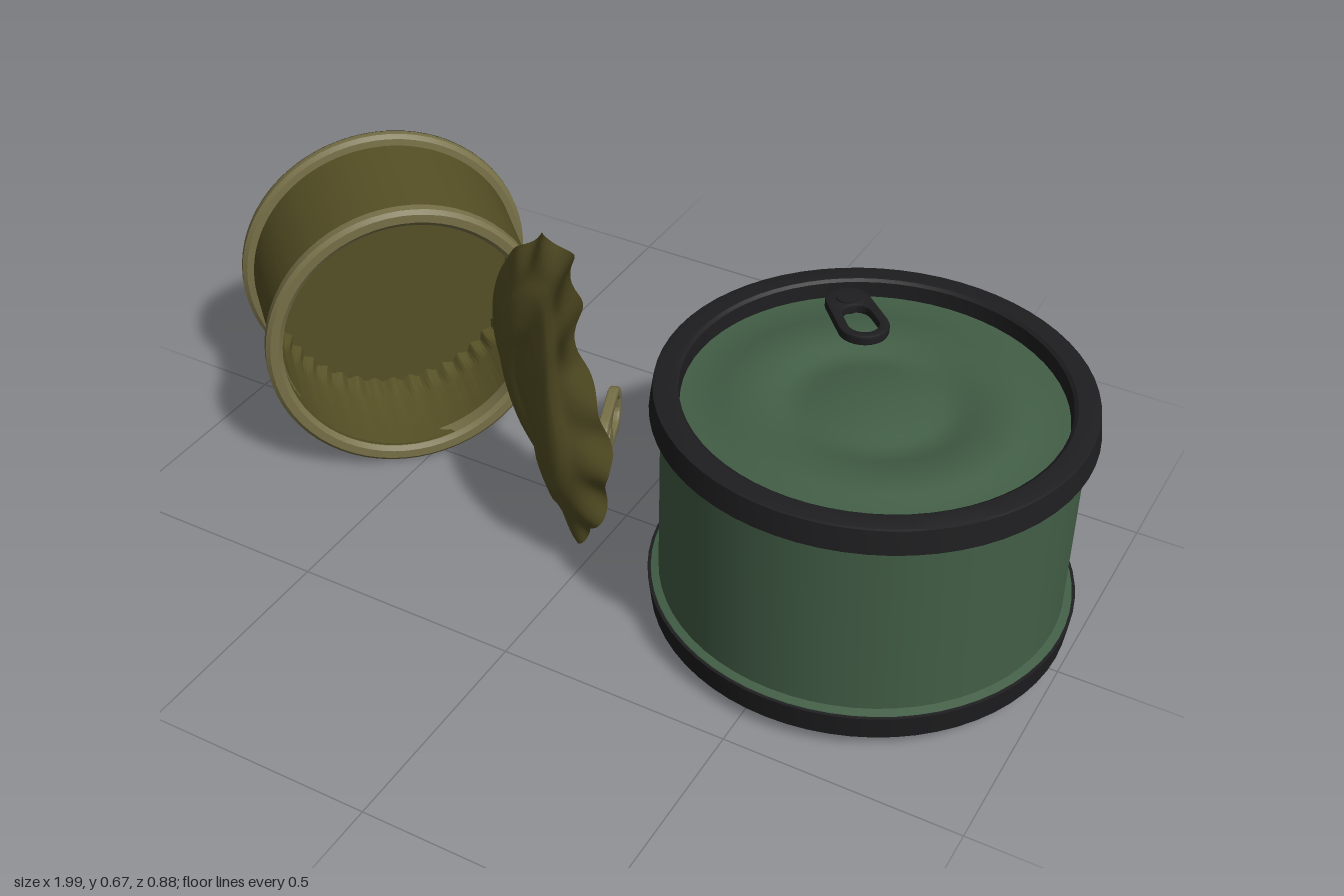
import * as THREE from 'three';
import { toCreasedNormals } from 'three/addons/utils/BufferGeometryUtils.js';

const V = (x, y, z) => new THREE.Vector3(x, y, z);
const mat = (color) => new THREE.MeshStandardMaterial({ color, side: THREE.DoubleSide });
const green = mat(0x425e46), black = mat(0x1e1e20), olive = mat(0x565025), pale = mat(0x777048);

function add(parent, name, geometry, material) {
  const mesh = new THREE.Mesh(geometry, material);
  mesh.name = name;
  parent.add(mesh);
  return mesh;
}

// Revolved profile of [radius, height] pairs, with sharp creases kept;
// points whose radius lies in the ribbed range are crimped
function lathe(points, segments = 64, ribs) {
  const g = new THREE.LatheGeometry(points.map(([r, y]) => new THREE.Vector2(r, y)), segments);
  if (ribs) {
    const p = g.attributes.position;
    for (let i = 0; i < p.count; i++) {
      const x = p.getX(i), z = p.getZ(i), r = Math.hypot(x, z);
      if (r < ribs.from || r > ribs.to) continue;
      const k = 1 + ribs.depth * Math.cos(ribs.count * Math.atan2(x, z));
      p.setXYZ(i, x * k, p.getY(i), z * k);
    }
  }
  return toCreasedNormals(g, 0.6);
}

// Pull tab: rounded loop with a finger hole, hub and rivet; length runs along +y
function pullTab(name, material, center, dir, normal) {
  const tab = new THREE.Group();
  tab.name = name;
  const plate = new THREE.Shape();
  plate.absarc(0, 0.042, 0.049, 0, Math.PI, false);
  plate.absarc(0, -0.046, 0.044, Math.PI, Math.PI * 2, false);
  plate.closePath();
  const hole = new THREE.Path();
  hole.absarc(0, 0.042, 0.037, 0, Math.PI, false);
  hole.absarc(0, 0.006, 0.035, Math.PI, Math.PI * 2, false);
  hole.closePath();
  plate.holes.push(hole);
  const g = new THREE.ExtrudeGeometry(plate, {
    depth: 0.012, bevelThickness: 0.005, bevelSize: 0.005, bevelSegments: 2, curveSegments: 16,
  });
  add(tab, 'tabPlate', toCreasedNormals(g.translate(0, 0, -0.006), 0.7), material);
  const rivet = add(tab, 'tabRivet', new THREE.CylinderGeometry(0.024, 0.026, 0.028, 20), material);
  rivet.rotation.x = Math.PI / 2;
  rivet.position.set(0, -0.054, 0);
  const d = dir.clone().normalize(), n = normal.clone().normalize();
  tab.quaternion.setFromRotationMatrix(new THREE.Matrix4().makeBasis(d.clone().cross(n), d, n));
  tab.position.copy(center);
  return tab;
}

// Sealed can, standing upright
function sealedCan() {
  const can = new THREE.Group();
  can.name = 'sealedCan';
  add(can, 'canBody', lathe([[0.436, 0.09], [0.434, 0.094], [0.418, 0.098], [0.418, 0.502]]), green);
  add(can, 'bottomRim', lathe([[0, 0.037], [0.434, 0.037], [0.441, 0.092], [0.41, 0.095]]), black);
  add(can, 'topRim', lathe([[0.41, 0.5], [0.441, 0.502], [0.434, 0.553], [0.428, 0.555],
    [0.39, 0.555], [0.383, 0.55], [0.38, 0.505]]), black);
  add(can, 'sealedLid', lathe([[0.384, 0.516], [0.315, 0.514], [0.295, 0.523], [0.2, 0.523],
    [0.18, 0.512], [0.135, 0.512], [0.115, 0.519], [0, 0.519]]), green);
  can.position.x = 0.557;
  can.add(pullTab('sealedTab', black, V(-0.148, 0.534, -0.238), V(0.7, 0, 0.71), V(0, 1, 0)));
  return can;
}

// Opened can, lying with its mouth toward the front left
function openCan() {
  const can = new THREE.Group();
  can.name = 'openCan';
  // the inner wall is crimped where it meets the floor
  add(can, 'wall', lathe([[0.305, 0.01], [0.3, 0.358], [0.286, 0.358], [0.285, 0.185], [0.275, 0.15], [0.266, 0.125]],
    240, { from: 0.26, to: 0.28, count: 40, depth: 0.022 }), olive);
  add(can, 'floor', lathe([[0.276, 0.128], [0, 0.128]]), olive);
  add(can, 'base', lathe([[0, 0.004], [0.28, 0.004], [0.29, 0.004], [0.302, 0], [0.322, 0.002], [0.328, 0.008]],
    168, { from: 0.285, to: 0.295, count: 28, depth: 0.01 }), olive);
  add(can, 'baseRim', lathe([[0.327, 0.007], [0.329, 0.012], [0.329, 0.026], [0.32, 0.034], [0.302, 0.036]]), pale);
  // the mouth is squeezed a little sideways, where the lid was torn
  const mouth = add(can, 'mouthRim', lathe([[0.302, 0.33], [0.319, 0.332], [0.328, 0.34], [0.328, 0.36], [0.319, 0.368],
    [0.3, 0.368], [0.29, 0.36], [0.288, 0.328]]), pale);
  mouth.scale.x = 0.96;
  mouth.position.x = -0.008;
  can.position.set(-0.77, 0.334, -0.205);
  can.rotation.set(Math.PI / 2, 0.795, 0, 'YXZ');
  return can;
}

// Peeled lid: a wavy-edged embossed dish bent along an S curve
function peeledLid() {
  const rings = 22, spokes = 144, pos = [], index = [];
  const path = new THREE.CatmullRomCurve3([V(-0.41, 0, -0.11), V(-0.35, 0, -0.07), V(-0.26, 0, 0), V(-0.175, 0, 0.06),
    V(-0.085, 0, 0.165), V(-0.01, 0, 0.235), V(0.112, 0, 0.255)]);
  const step = THREE.MathUtils.smoothstep;
  for (let i = 0; i <= rings; i++) {
    const r = i / rings;
    for (let j = 0; j < spokes; j++) {
      const a = (j / spokes) * Math.PI * 2;
      const free = step(Math.cos(a), -0.95, -0.4), edge = step(r, 0.72, 1) * free;
      const wave = Math.sin(13 * a + 0.8) + 0.35 * Math.sin(7 * a);
      const grow = r * (1 + 0.025 * edge * wave);
      const t = THREE.MathUtils.clamp(0.5 + 0.49 * grow * Math.cos(a), 0, 1);
      const v = 0.327 * grow * Math.sin(a);
      // bulge, embossed steps and edge ripple, along the sheet normal
      const w = 0.036 * (1 - r * r) - 0.6 * v * v + 0.009 * (step(r, 0.34, 0.42) - step(r, 0.66, 0.76))
        + 0.011 * edge * Math.cos(13 * a + 0.3);
      const c = path.getPointAt(t), d = path.getTangentAt(t);
      pos.push(c.x - d.z * w, 0.34 + v, c.z + d.x * w);
      if (i < rings) {
        const k = (j + 1) % spokes, p = i * spokes, q = p + spokes;
        if (i > 0) index.push(p + j, q + j, p + k);
        index.push(q + j, q + k, p + k);
      }
    }
  }
  const g = new THREE.BufferGeometry();
  g.setAttribute('position', new THREE.Float32BufferAttribute(pos, 3));
  g.setIndex(index);
  g.computeVertexNormals();
  return g;
}

export function createModel() {
  const model = new THREE.Group();
  model.name = 'cans';
  model.add(sealedCan(), openCan());
  add(model, 'peeledLid', peeledLid(), olive);
  model.add(pullTab('peeledTab', pale, V(0.018, 0.335, 0.105), V(-0.065, 0, -0.18), V(0.18, 0, -0.065)));
  return model;
}
